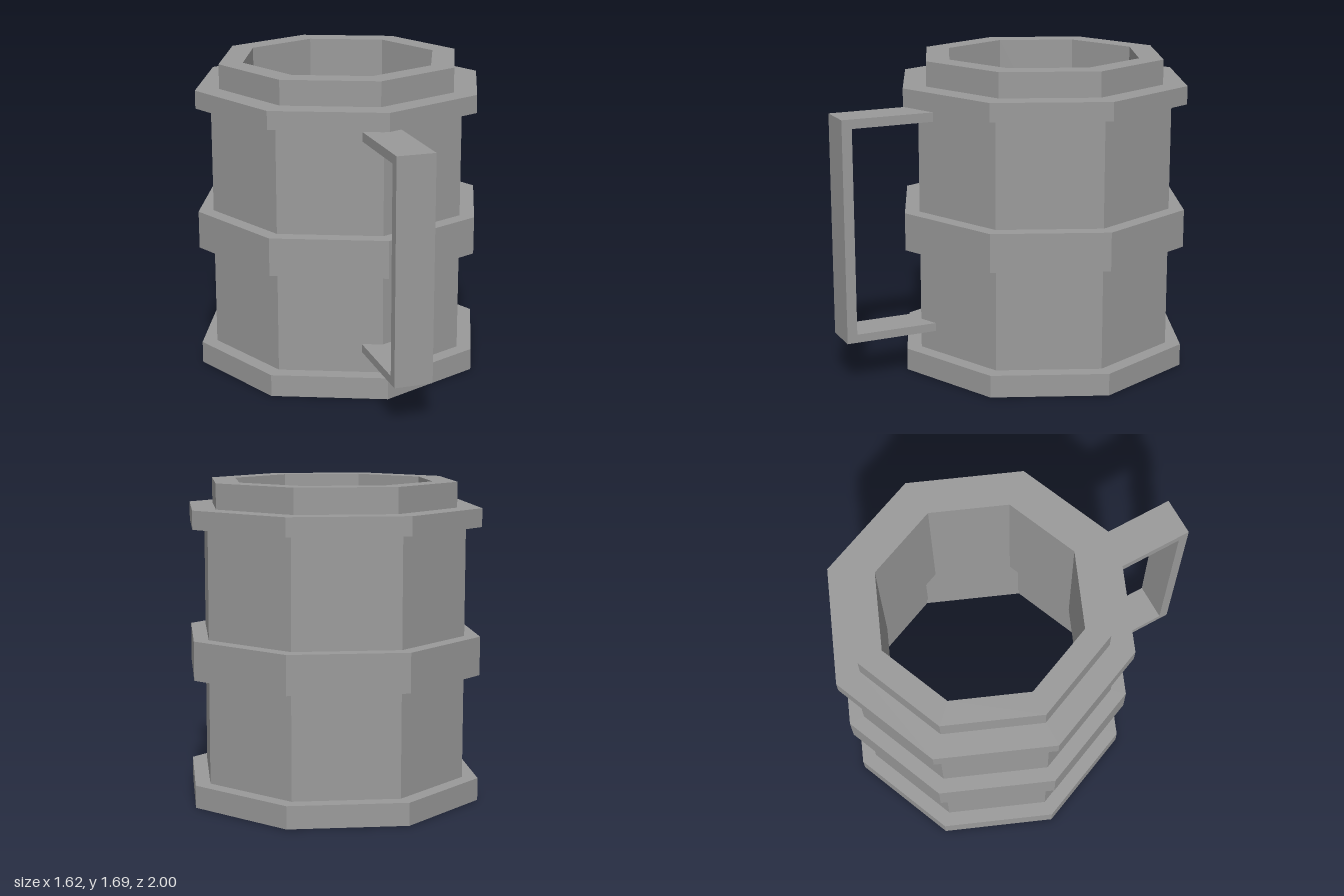
import * as THREE from 'three';

const material = new THREE.MeshStandardMaterial({ color: 0x9a9a9a, flatShading: true });
const SIDES = 8;
const BODY_Z = -0.188;

// Closed [radius, height] outline turned into an eight-sided ring
function octagonalShell(name, outline) {
  const points = [...outline, outline[0]].map(([r, y]) => new THREE.Vector2(r, y));
  const mesh = new THREE.Mesh(new THREE.LatheGeometry(points, SIDES), material);
  mesh.name = name;
  mesh.position.z = BODY_Z;
  return mesh;
}

// C-shaped strap, drawn in the z/y plane and extruded across x
function strapHandle() {
  const width = 0.206;
  const outline = [
    [0.49, 0.235], [1, 0.235], [1, 1.44], [0.49, 1.44],
    [0.49, 1.39], [0.945, 1.39], [0.945, 0.28], [0.49, 0.28],
  ].map(([z, y]) => new THREE.Vector2(z, y));
  const geometry = new THREE.ExtrudeGeometry(new THREE.Shape(outline), { depth: width, bevelEnabled: false });
  geometry.translate(0, 0, -width / 2);
  geometry.rotateY(-Math.PI / 2);
  const mesh = new THREE.Mesh(geometry, material);
  mesh.name = 'handle';
  return mesh;
}

export function createModel() {
  const group = new THREE.Group();
  group.name = 'tankard';

  group.add(octagonalShell('body', [
    // outside: base band, wall, middle band, wall, top band, collar
    [0.812, 0], [0.812, 0.12], [0.727, 0.12], [0.727, 0.679],
    [0.812, 0.679], [0.812, 0.885], [0.727, 0.885], [0.727, 1.462],
    [0.812, 1.462], [0.812, 1.56], [0.679, 1.56], [0.679, 1.694],
    // inside: narrow bore above, wide open hollow below
    [0.545, 1.694], [0.545, 0.885], [0.76, 0.885], [0.76, 0.679],
    [0.72, 0.679], [0.72, 0.12], [0.745, 0.12], [0.745, 0],
  ]));

  group.add(strapHandle());
  return group;
}
